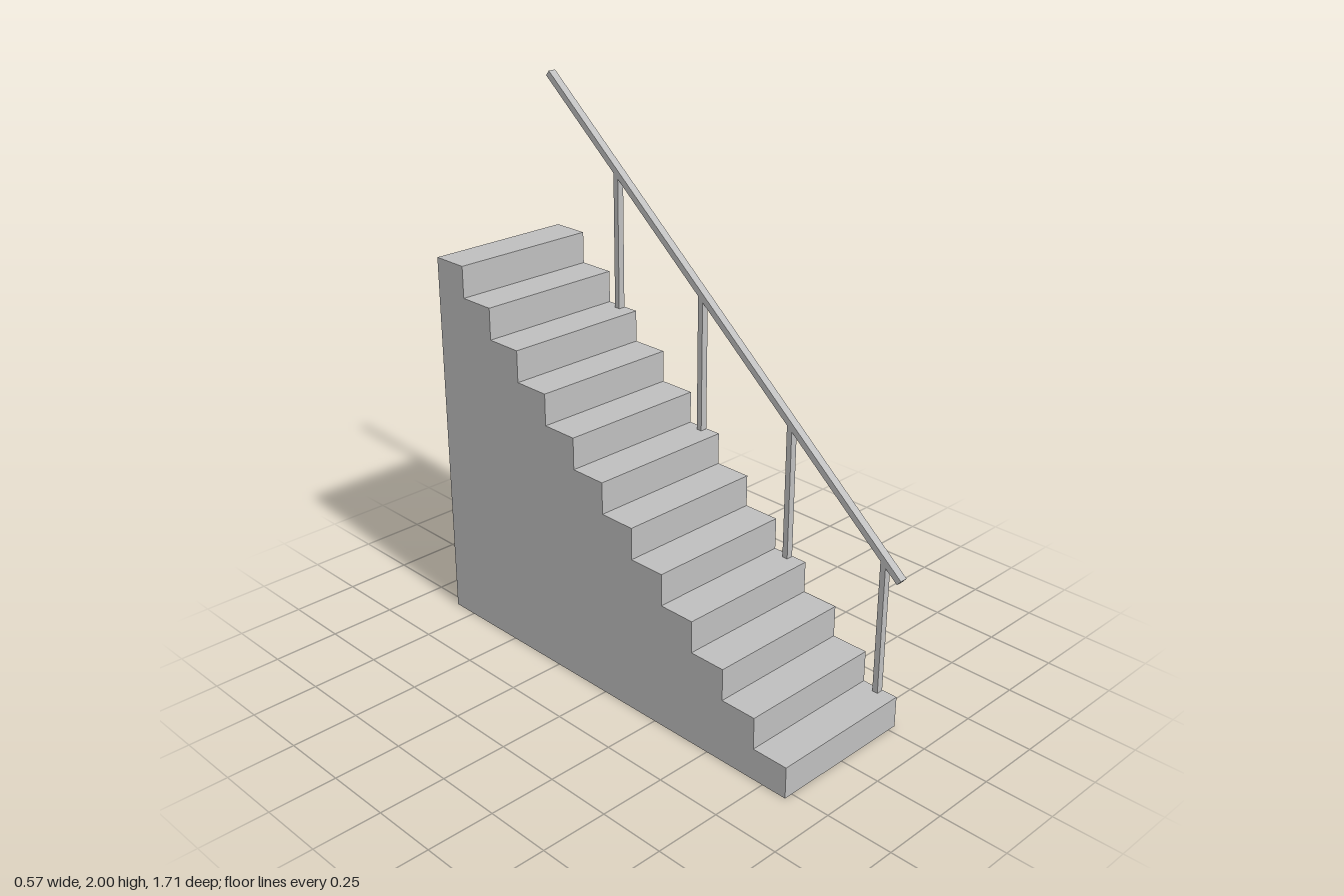
import * as THREE from 'three';

const STEPS = 12, RISE = 0.1182, RUN = 0.1415, HALF_WIDTH = 0.283;
const HALF_DEPTH = STEPS * RUN / 2;
const RAIL_X = 0.267, RAIL_WIDTH = 0.03, RAIL_THICK = 0.024;
const RAIL_MID_Y = 1.2836, SLOPE = RISE / RUN;

export function createModel() {
  const group = new THREE.Group();
  const grey = new THREE.MeshStandardMaterial({ color: 0xbfbfbf });
  grey.name = 'concrete grey';

  const add = (name, geometry, x, y, z) => {
    const mesh = new THREE.Mesh(geometry, grey);
    mesh.name = name;
    mesh.position.set(x, y, z);
    group.add(mesh);
    return mesh;
  };

  // Solid flight: stepped side profile (shape x runs from front to back)
  const profile = new THREE.Shape();
  profile.moveTo(-HALF_DEPTH, 0);
  profile.lineTo(HALF_DEPTH, 0);
  profile.lineTo(HALF_DEPTH, STEPS * RISE);
  for (let i = STEPS - 1; i >= 0; i--) {
    const z = -HALF_DEPTH + i * RUN;
    profile.lineTo(z, (i + 1) * RISE);
    if (i > 0) profile.lineTo(z, i * RISE);
  }
  const flight = new THREE.ExtrudeGeometry(profile, { depth: 2 * HALF_WIDTH, bevelEnabled: false });
  flight.translate(0, 0, -HALF_WIDTH);
  flight.rotateY(Math.PI / 2);
  add('stairFlight', flight, 0, 0, 0);

  // Sloping handrail, parallel to the flight
  const railLength = 2 * HALF_DEPTH * Math.hypot(1, SLOPE);
  const rail = add('handrail', new THREE.BoxGeometry(RAIL_WIDTH, RAIL_THICK, railLength), RAIL_X, RAIL_MID_Y, 0);
  rail.rotation.x = Math.atan(SLOPE);

  // Posts on every third step, ending inside the rail
  for (let i = 0; i < STEPS; i += 3) {
    const z = HALF_DEPTH - (i + 0.5) * RUN;
    const bottom = (i + 1) * RISE, top = RAIL_MID_Y - z * SLOPE;
    add('railPost', new THREE.BoxGeometry(0.026, top - bottom, 0.022), RAIL_X, (top + bottom) / 2, z);
  }
  return group;
}
